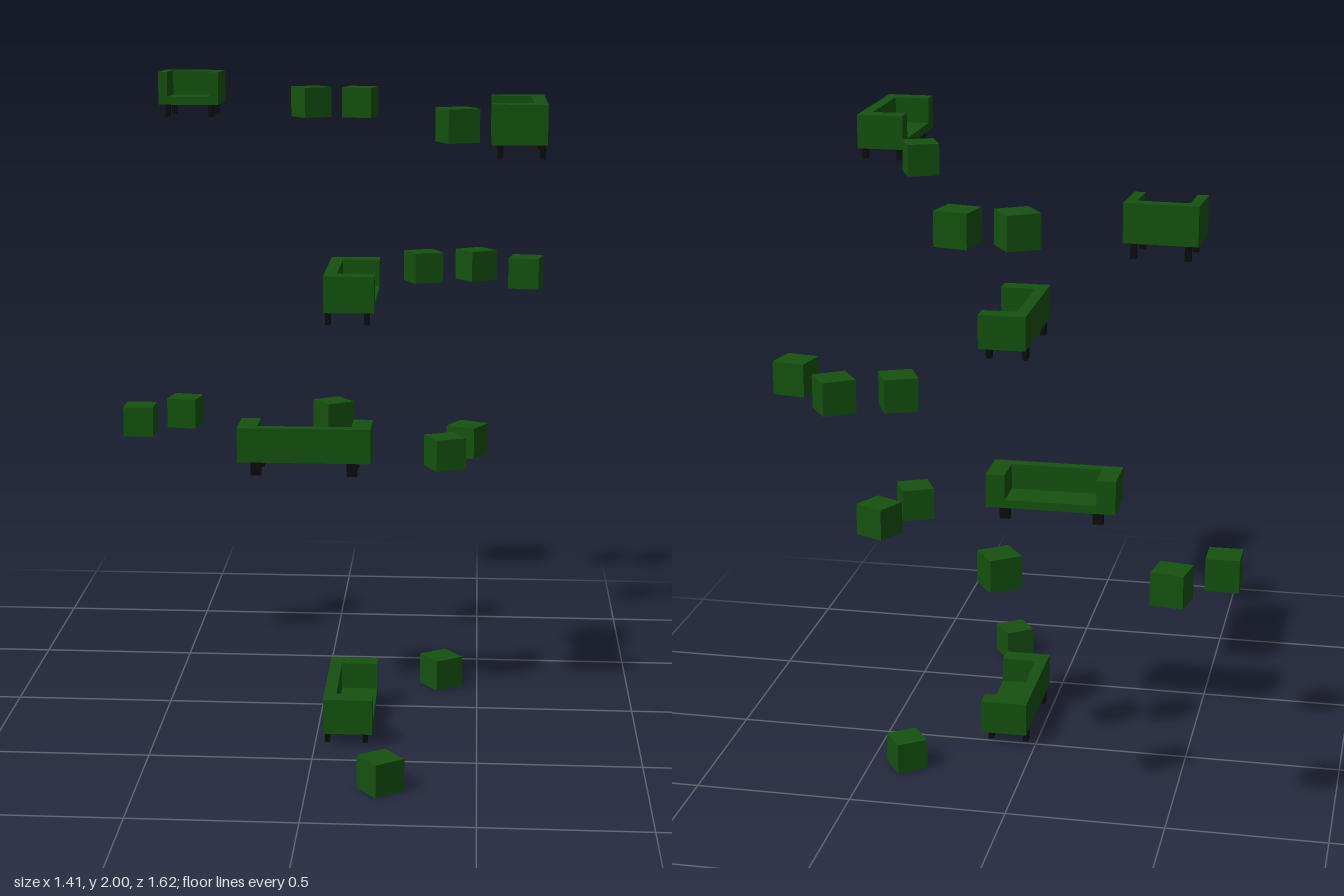
import * as THREE from 'three';

const green = new THREE.MeshStandardMaterial({ color: 0x14520f });
const black = new THREE.MeshStandardMaterial({ color: 0x0c0c0c });

const LENGTH = 0.42, DEPTH = 0.152, LEG = 0.042, TOP = 0.152;
const ARM = 0.062, BACK = 0.038, SEAT = 0.027;

function box(name, w, h, d, x, y, z, material = green) {
  const mesh = new THREE.Mesh(new THREE.BoxGeometry(w, h, d), material);
  mesh.name = name;
  mesh.position.set(x, y, z);
  return mesh;
}

// Seat facing +z; lengthScale squeezes a sofa into an armchair
function makeSofa(name, lengthScale = 1) {
  const sofa = new THREE.Group();
  sofa.name = name;
  const w = LENGTH / 2, d = DEPTH / 2, inner = w - ARM;

  // U-shaped frame: two arms and the back at one height
  const plan = new THREE.Shape([
    [-w, -d], [-inner, -d], [-inner, d - BACK], [inner, d - BACK],
    [inner, -d], [w, -d], [w, d], [-w, d],
  ].map(([x, y]) => new THREE.Vector2(x, y)));
  const frameGeometry = new THREE.ExtrudeGeometry(plan, { depth: TOP - LEG, bevelEnabled: false });
  frameGeometry.rotateX(-Math.PI / 2);
  const frame = new THREE.Mesh(frameGeometry, green);
  frame.name = 'armsAndBack';
  frame.position.y = LEG;
  sofa.add(frame);

  // Low seat between the arms
  sofa.add(box('seat', inner * 2, SEAT, DEPTH - BACK, 0, LEG + SEAT / 2, BACK / 2));

  // Four legs
  for (const side of [-1, 1]) {
    sofa.add(box('frontLeg', 0.034, LEG, 0.016, side * 0.151, LEG / 2, 0.052, black));
    sofa.add(box('backLeg', 0.034, LEG, 0.016, side * 0.151, LEG / 2, -0.065, black));
  }
  sofa.scale.x = lengthScale;
  return sofa;
}

export function createModel() {
  const model = new THREE.Group();
  model.name = 'seatingOnFourFloors';

  // Each floor: base height, seats [name, x, z, turn in degrees, length scale], poufs [x, z, turn]
  const floors = [
    {
      y: 0,
      sofas: [['sofa', 0.102, 0.18, 90, 1]],
      poufs: [[0.218, 0.733, 36], [0.38, -0.229, 35]],
    },
    {
      y: 0.793,
      sofas: [['sofa', -0.053, 0.047, 180, 1]],
      poufs: [[0.387, -0.032, 25], [0.457, -0.218, -27], [-0.655, -0.457, 0],
        [-0.519, -0.605, -10], [-0.003, -0.575, 35]],
    },
    {
      y: 1.315,
      sofas: [['sofa', 0.102, 0.18, 90, 1]],
      poufs: [[0.302, -0.545, 24], [0.479, -0.605, 34], [0.643, -0.442, -10]],
    },
    {
      y: 1.852,
      sofas: [['sofa', 0.591, 0.6, -90, 1], ['armchair', -0.499, -0.728, -3, 0.49]],
      poufs: [[-0.09, -0.72, 32], [0.078, -0.723, -12], [0.417, 0.236, 24]],
    },
  ];

  floors.forEach(({ y, sofas, poufs }, i) => {
    const floor = new THREE.Group();
    floor.name = `floor${i + 1}`;
    floor.position.y = y;
    for (const [name, x, z, turn, scale] of sofas) {
      const sofa = makeSofa(name, scale);
      sofa.position.set(x, 0, z);
      sofa.rotation.y = THREE.MathUtils.degToRad(turn);
      floor.add(sofa);
    }
    // Cube poufs
    for (const [x, z, turn] of poufs) {
      const pouf = box('pouf', 0.101, 0.101, 0.101, x, 0.0505, z);
      pouf.rotation.y = THREE.MathUtils.degToRad(turn);
      floor.add(pouf);
    }
    model.add(floor);
  });
  return model;
}
